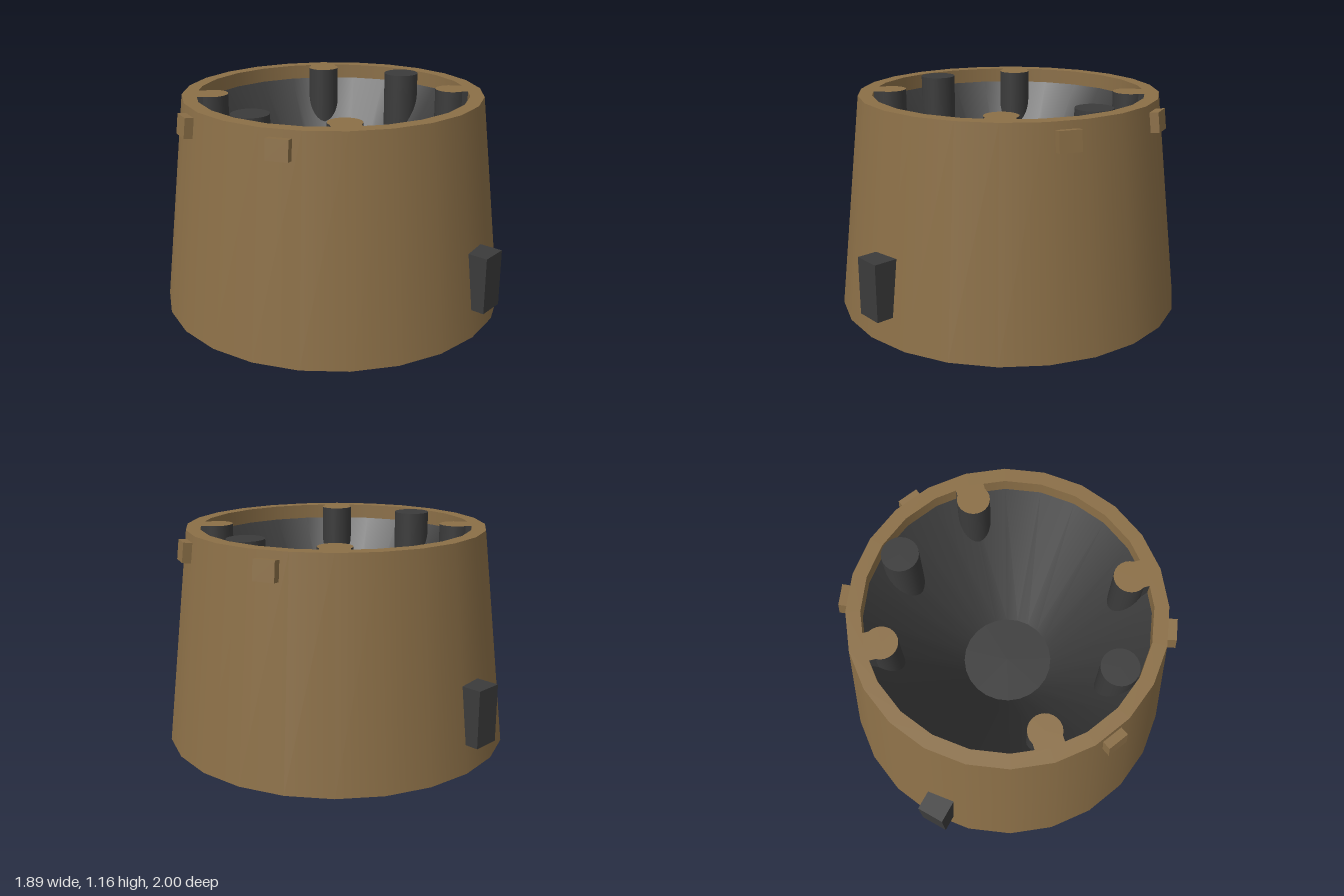
import * as THREE from 'three';

const H = 1.165, R0 = 0.945, R1 = 0.81, RI = 0.735, SIDES = 24;
const BOWL_Y = 0.41, BOWL_R = 0.25, BAND_Y = 1.085;

const wallR = (y) => R0 + (R1 - R0) * y / H;
const bowlY = (r) => Math.min(BAND_Y, BOWL_Y + (r - BOWL_R) / (RI - BOWL_R) * (BAND_Y - BOWL_Y));

export function createModel() {
  const tan = new THREE.MeshStandardMaterial({ color: 0x8b6f47, side: THREE.DoubleSide });
  tan.name = 'tan';
  const dark = new THREE.MeshStandardMaterial({ color: 0x3b3b3b, side: THREE.DoubleSide });
  dark.name = 'charcoal';

  const model = new THREE.Group();
  const add = (name, geo, mat, parent = model) => {
    const mesh = new THREE.Mesh(geo, mat);
    mesh.name = name;
    parent.add(mesh);
    return mesh;
  };
  const flat = (geo, y) => geo.rotateX(-Math.PI / 2).translate(0, y, 0);

  // Drop the lower vertices of an upright part onto the bowl's slope
  const standOnBowl = (geo) => {
    const p = geo.attributes.position;
    for (let i = 0; i < p.count; i++) {
      if (p.getY(i) < H - 0.01) p.setY(i, bowlY(Math.hypot(p.getX(i), p.getZ(i))));
    }
    return geo;
  };

  // Tapered outer shell, open below, with a flat rim and a short inner lip
  add('shell', new THREE.CylinderGeometry(R1, R0, H, SIDES, 1, true).translate(0, H / 2, 0), tan);
  add('rim', flat(new THREE.RingGeometry(RI, R1, SIDES), H), tan);
  add('innerLip', new THREE.CylinderGeometry(RI, RI, H - BAND_Y, SIDES, 1, true)
    .translate(0, (H + BAND_Y) / 2, 0), tan);

  // Conical bowl with a flat floor
  add('bowl', new THREE.CylinderGeometry(RI, BOWL_R, BAND_Y - BOWL_Y, SIDES, 1, true)
    .translate(0, (BAND_Y + BOWL_Y) / 2, 0), dark);
  add('bowlFloor', flat(new THREE.CircleGeometry(BOWL_R, SIDES), BOWL_Y), dark);

  // Two round pegs
  for (const s of [-1, 1]) {
    const x = s * 0.63;
    add('peg', standOnBowl(new THREE.CylinderGeometry(0.098, 0.098, 0.2, 24, 1, true)
      .translate(x, H - 0.1, 0)), dark);
    add('pegTop', flat(new THREE.CircleGeometry(0.098, 24), H).translate(x, 0, 0), dark);
  }

  // Four screw posts, each joined to the rim by a neck
  for (let i = 0; i < 4; i++) {
    const post = new THREE.Group();
    post.name = 'screwPost';
    post.rotation.y = Math.PI / 4 + i * Math.PI / 2;
    model.add(post);
    const r = 0.65, rad = 0.087, neckW = 0.15, neckL = RI - r;
    add('postSide', standOnBowl(new THREE.CylinderGeometry(rad, rad, 0.2, 24, 1, true)
      .translate(0, H - 0.1, r)), dark, post);
    for (const s of [-1, 1]) {
      add('neckSide', standOnBowl(new THREE.PlaneGeometry(neckL, 0.2).rotateY(Math.PI / 2)
        .translate(s * neckW / 2, H - 0.1, r + neckL / 2)), dark, post);
    }
    add('postTop', flat(new THREE.CircleGeometry(rad, 24), H).translate(0, 0, r), tan, post);
    add('neckTop', flat(new THREE.PlaneGeometry(neckW, neckL), H)
      .translate(0, 0, r + neckL / 2), tan, post);
  }

  // Four small clips near the top, leaning with the wall
  for (const sx of [-1, 1]) for (const sz of [-1, 1]) {
    const holder = new THREE.Group();
    holder.name = 'clip';
    holder.rotation.y = Math.atan2(sx * 0.77, sz * 0.32);
    model.add(holder);
    const block = add('clipBlock', new THREE.BoxGeometry(0.115, 0.105, 0.06), tan, holder);
    block.position.set(0, 1.075, 0.83);
    block.rotation.x = -Math.atan((R0 - R1) / H);
  }

  // Front and back lugs, their inner faces fitted to the wall, with a slot inside
  const tilt = Math.PI / SIDES, apo = Math.cos(tilt);
  for (const turn of [0, Math.PI]) {
    const lug = new THREE.Group();
    lug.name = 'lug';
    lug.rotation.y = turn;
    model.add(lug);

    const geo = new THREE.BoxGeometry(0.15, 0.305, 0.12).translate(0.075, 0.305, 0.94);
    const p = geo.attributes.position;
    for (let i = 0; i < p.count; i++) {
      if (p.getZ(i) < 0.94) {
        p.setZ(i, wallR(p.getY(i)) - Math.tan(tilt) * p.getX(i) + 0.002);
      }
    }
    geo.computeVertexNormals();
    add('lugBlock', geo, dark, lug);

    const w = 0.05, h = 0.085;
    const slot = new THREE.Shape();
    slot.absarc(0, h, w, 0, Math.PI, false);
    slot.absarc(0, -h, w, Math.PI, 2 * Math.PI, false);
    const facet = new THREE.Group();
    facet.name = 'slotHolder';
    facet.rotation.y = tilt;
    lug.add(facet);
    const plate = add('slot', new THREE.ShapeGeometry(slot, 6), dark, facet);
    plate.position.set(-0.043, 0.305, wallR(0.305) * apo - 0.004);
    plate.rotation.x = -Math.atan((R0 - R1) * apo / H);
  }

  return model;
}
